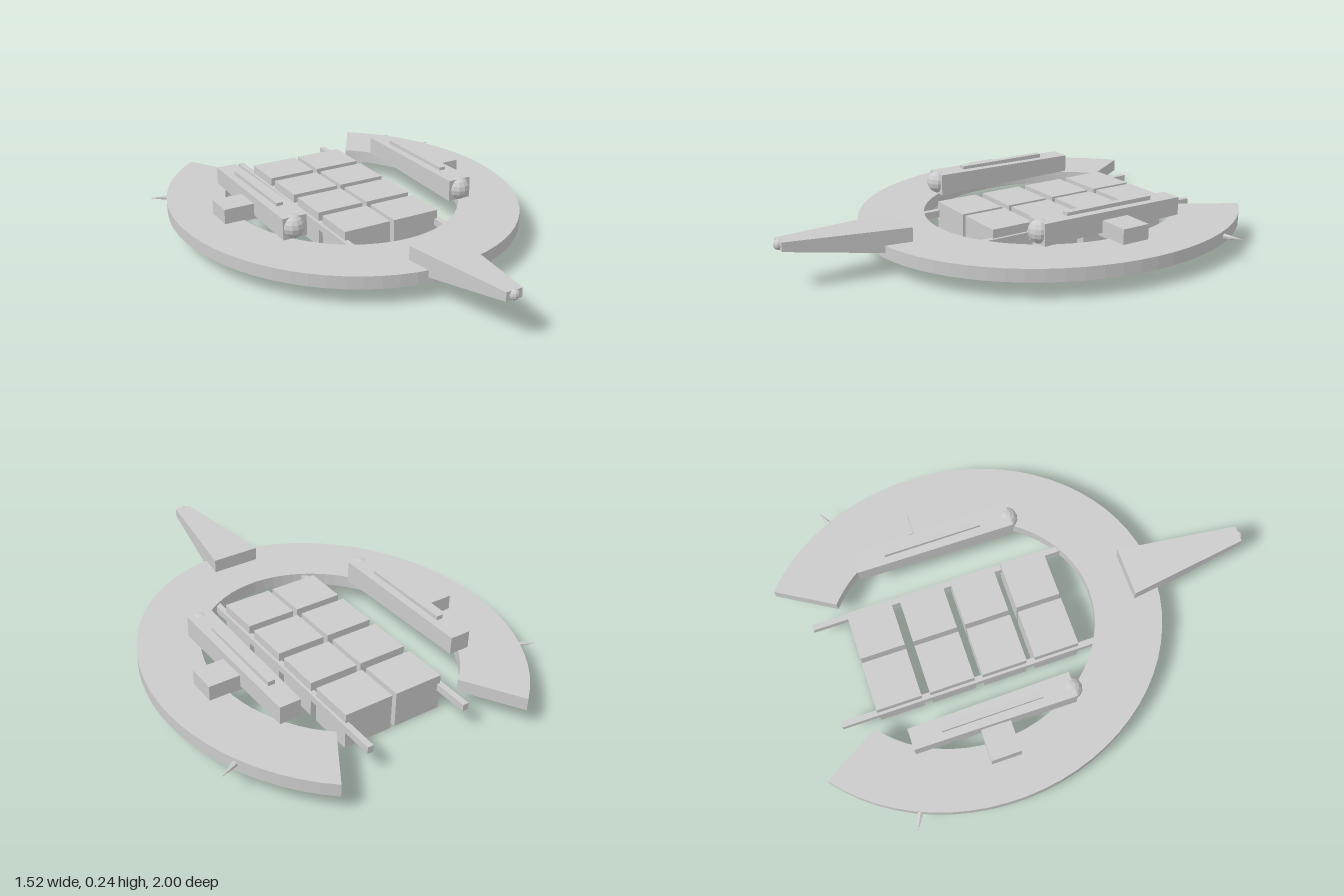
import * as THREE from 'three';

const mat = new THREE.MeshStandardMaterial({ color: 0xcccccc, flatShading: true });

function add(parent, name, geometry, x = 0, y = 0, z = 0) {
  const mesh = new THREE.Mesh(geometry, mat);
  mesh.name = name;
  mesh.position.set(x, y, z);
  parent.add(mesh);
  return mesh;
}

// Box given by its minimum and maximum corners
function block(parent, name, [x0, y0, z0], [x1, y1, z1]) {
  return add(parent, name, new THREE.BoxGeometry(x1 - x0, y1 - y0, z1 - z0),
    (x0 + x1) / 2, (y0 + y1) / 2, (z0 + z1) / 2);
}

// Box along z whose back and front ends differ: { z, w (half width), y0, y1 }
function taperedBox(back, front) {
  const g = new THREE.BoxGeometry(2, 1, 1);
  const p = g.attributes.position;
  for (let i = 0; i < p.count; i++) {
    const end = p.getZ(i) > 0 ? front : back;
    p.setXYZ(i, p.getX(i) * end.w, p.getY(i) > 0 ? end.y1 : end.y0, end.z);
  }
  g.computeVertexNormals();
  return g;
}

// Flat elliptical ring with a gap at the back
function ringGeometry() {
  const cz = -0.288, gap = THREE.MathUtils.degToRad(35), n = 56;
  const arc = (rx, rz) => Array.from({ length: n + 1 }, (_, i) => {
    const a = gap + (2 * Math.PI - 2 * gap) * i / n;
    return new THREE.Vector2(rx * Math.sin(a), cz - rz * Math.cos(a));
  });
  const shape = new THREE.Shape([...arc(0.76, 0.87), ...arc(0.505, 0.577).reverse()]);
  const g = new THREE.ExtrudeGeometry(shape, { depth: 0.055, bevelEnabled: false });
  return g.rotateX(Math.PI / 2).translate(0, 0.13, 0);
}

export function createModel() {
  const model = new THREE.Group();
  model.name = 'ringShip';

  add(model, 'hullRing', ringGeometry());

  // Command prow with a small tip light
  add(model, 'prow', taperedBox(
    { z: 0.46, w: 0.108, y0: 0.08, y1: 0.19 },
    { z: 0.98, w: 0.036, y0: 0.166, y1: 0.204 }));
  add(model, 'prowTip', new THREE.SphereGeometry(0.022, 10, 8), 0, 0.186, 0.978);

  for (const s of [1, -1]) {
    const side = new THREE.Group();
    side.name = s > 0 ? 'leftSide' : 'rightSide';
    model.add(side);
    const span = (a, b) => s > 0 ? [a, b] : [-b, -a];

    // Cargo containers and the rail that carries them
    const [c0, c1] = span(0.01, 0.226);
    for (let i = 0; i < 4; i++) {
      const z = -0.73 + i * 0.231;
      block(side, 'container', [c0, 0, z], [c1, 0.158, z + 0.195]);
    }
    const [r0, r1] = span(0.212, 0.238);
    block(side, 'cargoRail', [r0, 0.09, -0.885], [r1, 0.12, 0.24]);

    // Engine pod with nose, top fin and pylon
    add(side, 'enginePod', taperedBox(
      { z: -0.63, w: 0.046, y0: 0.147, y1: 0.224 },
      { z: 0.065, w: 0.054, y0: 0.138, y1: 0.232 }), s * 0.405, 0, 0);
    add(side, 'podNose', new THREE.SphereGeometry(0.05, 12, 8), s * 0.408, 0.187, 0.054);
    const [f0, f1] = span(0.39, 0.42);
    block(side, 'podFin', [f0, 0.2, -0.5], [f1, 0.244, -0.07]);
    const [p0, p1] = span(0.43, 0.59);
    block(side, 'podPylon', [p0, 0.125, -0.35], [p1, 0.195, -0.222]);

    // Antenna spike on the rim
    const base = new THREE.Vector3(s * 0.66, 0.105, -0.677);
    const tip = new THREE.Vector3(s * 0.75, 0.105, -0.72);
    const dir = tip.clone().sub(base);
    const mid = base.clone().add(tip).multiplyScalar(0.5);
    const spike = add(side, 'antenna', new THREE.ConeGeometry(0.015, dir.length(), 6), mid.x, mid.y, mid.z);
    spike.quaternion.setFromUnitVectors(new THREE.Vector3(0, 1, 0), dir.normalize());
  }
  return model;
}
